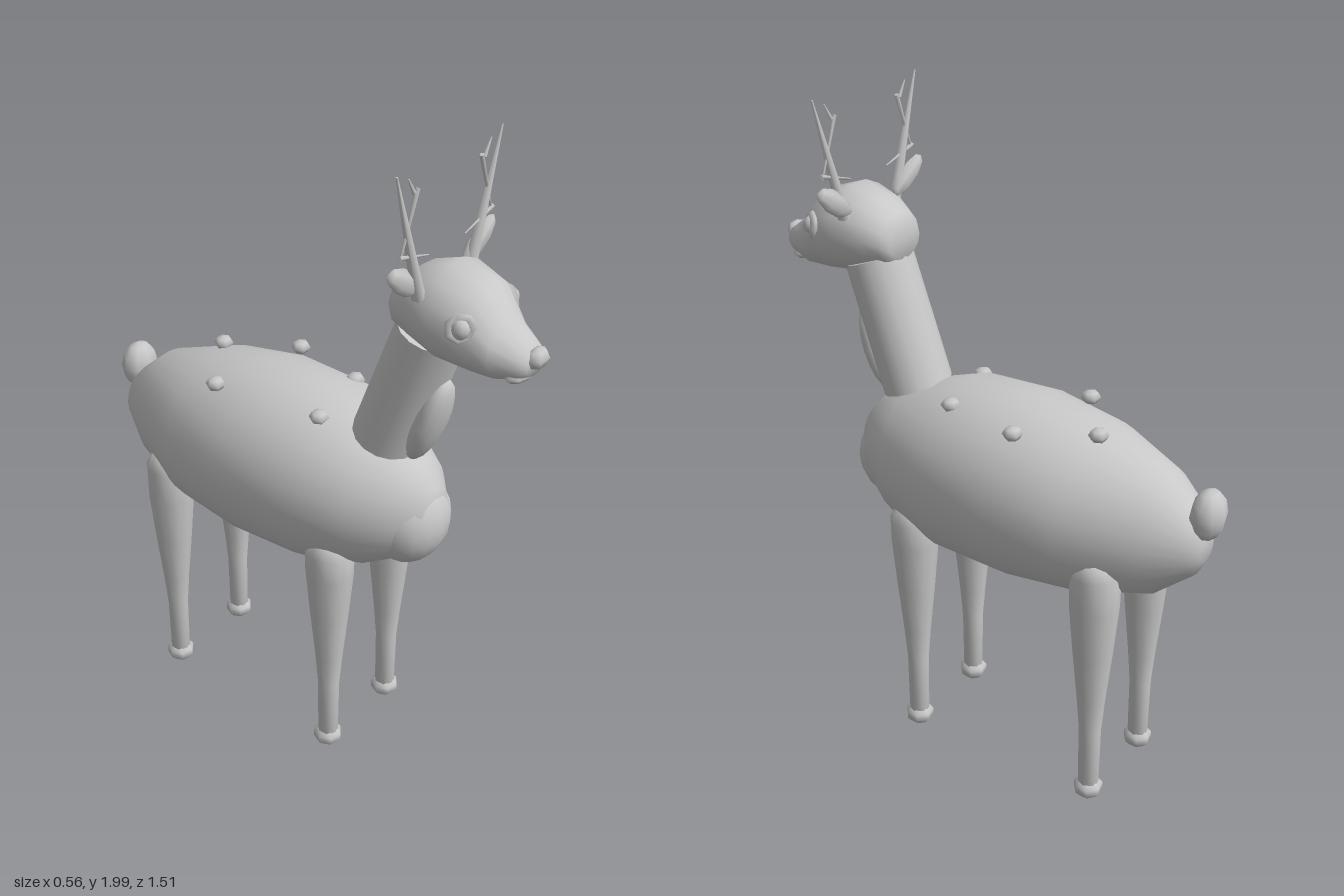
import * as THREE from 'three';

const V = (x, y, z) => new THREE.Vector3(x, y, z);

// Closed loft along z: each section is [z, centreY, halfWidth, halfHeight]
function loft(sections, n) {
  const pos = [], idx = [];
  for (const [z, y, rx, ry] of sections)
    for (let i = 0; i < n; i++) {
      const a = (i / n) * Math.PI * 2;
      pos.push(Math.cos(a) * rx, y + Math.sin(a) * ry, z);
    }
  for (let s = 0; s < sections.length - 1; s++)
    for (let i = 0; i < n; i++) {
      const j = (i + 1) % n, a = s * n + i, b = s * n + j;
      idx.push(a, b, b + n, a, b + n, a + n);
    }
  // end caps
  const first = sections[0], last = sections[sections.length - 1];
  const c0 = pos.length / 3, c1 = c0 + 1, off = (sections.length - 1) * n;
  pos.push(0, first[1], first[0], 0, last[1], last[0]);
  for (let i = 0; i < n; i++) {
    const j = (i + 1) % n;
    idx.push(c0, j, i, c1, off + i, off + j);
  }
  const g = new THREE.BufferGeometry();
  g.setAttribute('position', new THREE.Float32BufferAttribute(pos, 3));
  g.setIndex(idx);
  g.computeVertexNormals();
  return g;
}

export function createModel() {
  const model = new THREE.Group();
  model.name = 'deer';
  const grey = new THREE.MeshStandardMaterial({ color: 0xc8c8c8 });
  grey.name = 'plain grey';

  const add = (name, geometry, position = V(0, 0, 0)) => {
    const m = new THREE.Mesh(geometry, grey);
    m.name = name;
    m.position.copy(position);
    model.add(m);
    return m;
  };
  const ball = (name, p, rx, ry, rz, w = 12, h = 8) => {
    const m = add(name, new THREE.SphereGeometry(1, w, h), p);
    m.scale.set(rx, ry, rz);
    return m;
  };
  // Tapered rod between two points
  const rod = (name, a, b, ra, rb, sides = 6) => {
    const d = b.clone().sub(a);
    const m = add(name, new THREE.CylinderGeometry(rb, ra, d.length(), sides), a.clone().add(b).multiplyScalar(0.5));
    m.quaternion.setFromUnitVectors(V(0, 1, 0), d.normalize());
    return m;
  };

  // Body and chest
  add('body', loft([
    [-0.705, 0.89, 0.04, 0.045],
    [-0.68, 0.89, 0.085, 0.095],
    [-0.57, 0.892, 0.155, 0.188],
    [-0.36, 0.905, 0.25, 0.25],
    [-0.14, 0.915, 0.278, 0.28],
    [0.09, 0.916, 0.266, 0.274],
    [0.28, 0.912, 0.21, 0.217],
    [0.39, 0.912, 0.135, 0.155],
    [0.45, 0.91, 0.065, 0.09],
  ], 24));
  ball('chest', V(0, 0.875, 0.365), 0.13, 0.14, 0.115, 16, 10);
  ball('tail', V(0, 0.99, -0.703), 0.065, 0.076, 0.05, 8, 6);

  // Back spots
  for (const [x, z] of [[0.05, -0.38], [-0.15, -0.232], [0.176, -0.18], [0.124, 0.068], [-0.104, 0.116]])
    ball('backSpot', V(x, 1.157, z), 0.031, 0.021, 0.029, 6, 4);

  // Neck and throat patch
  const neck = rod('neck', V(0, 1.12, 0.28), V(0, 1.5, 0.415), 0.1, 0.097, 16);
  neck.scale.x = 1.1;
  const throat = ball('throatPatch', V(0, 1.215, 0.417), 0.068, 0.148, 0.045, 12, 10);
  throat.rotation.x = 0.34;

  // Head and nose
  add('head', loft([
    [0.318, 1.565, 0.07, 0.055],
    [0.34, 1.567, 0.095, 0.078],
    [0.39, 1.578, 0.12, 0.104],
    [0.48, 1.58, 0.145, 0.133],
    [0.58, 1.558, 0.122, 0.122],
    [0.64, 1.517, 0.092, 0.082],
    [0.7, 1.504, 0.065, 0.052],
    [0.728, 1.504, 0.045, 0.033],
  ], 14));
  ball('nose', V(0, 1.52, 0.73), 0.04, 0.03, 0.027, 6, 4);
  ball('mouth', V(0, 1.465, 0.685), 0.066, 0.022, 0.035, 8, 4);

  // Leg profile, from fetlock to shoulder dome
  const legGeometry = (top) => new THREE.LatheGeometry([
    [0, 0.05], [0.031, 0.05], [0.033, 0.25], [0.042, 0.36], [0.058, 0.52],
    [0.072, 0.68], [0.073, top - 0.06], [0.05, top - 0.015], [0, top],
  ].map(([r, y]) => new THREE.Vector2(r, y)), 12);

  for (const s of [1, -1]) {
    // Legs and hooves
    for (const [name, z, top] of [['front', 0.193, 0.82], ['back', -0.443, 0.85]]) {
      add(name + 'Leg', legGeometry(top), V(s * 0.148, 0, z));
      ball(name + 'Hoof', V(s * 0.148, 0.038, z), 0.046, 0.035, 0.046, 7, 5);
    }

    // Eyes with raised lids
    const out = V(s * 0.8, 0.15, 0.55).normalize();
    ball('eye', V(s * 0.112, 1.593, 0.57), 0.026, 0.03, 0.026, 8, 6);
    const lid = add('eyelid', new THREE.TorusGeometry(0.031, 0.013, 4, 7), V(s * 0.112, 1.593, 0.57));
    lid.quaternion.setFromUnitVectors(V(0, 0, 1), out);

    // Ears
    const ear = ball('ear', V(s * 0.165, 1.697, 0.432), 0.034, 0.082, 0.02, 6, 5);
    ear.rotation.z = -s * 0.98;

    // Antler beam and tines
    const z = 0.442;
    rod('antlerBeam', V(s * 0.115, 1.64, z), V(s * 0.225, 1.995, z), 0.02, 0.003);
    rod('antlerTine', V(s * 0.2, 1.77, z), V(s * 0.137, 1.94, z), 0.003, 0.007, 5);
    rod('antlerTine', V(s * 0.205, 1.78, z), V(s * 0.08, 1.745, z), 0.007, 0.002, 5);
    rod('antlerTine', V(s * 0.15, 1.93, z), V(s * 0.177, 1.975, z), 0.006, 0.002, 5);
  }
  return model;
}
